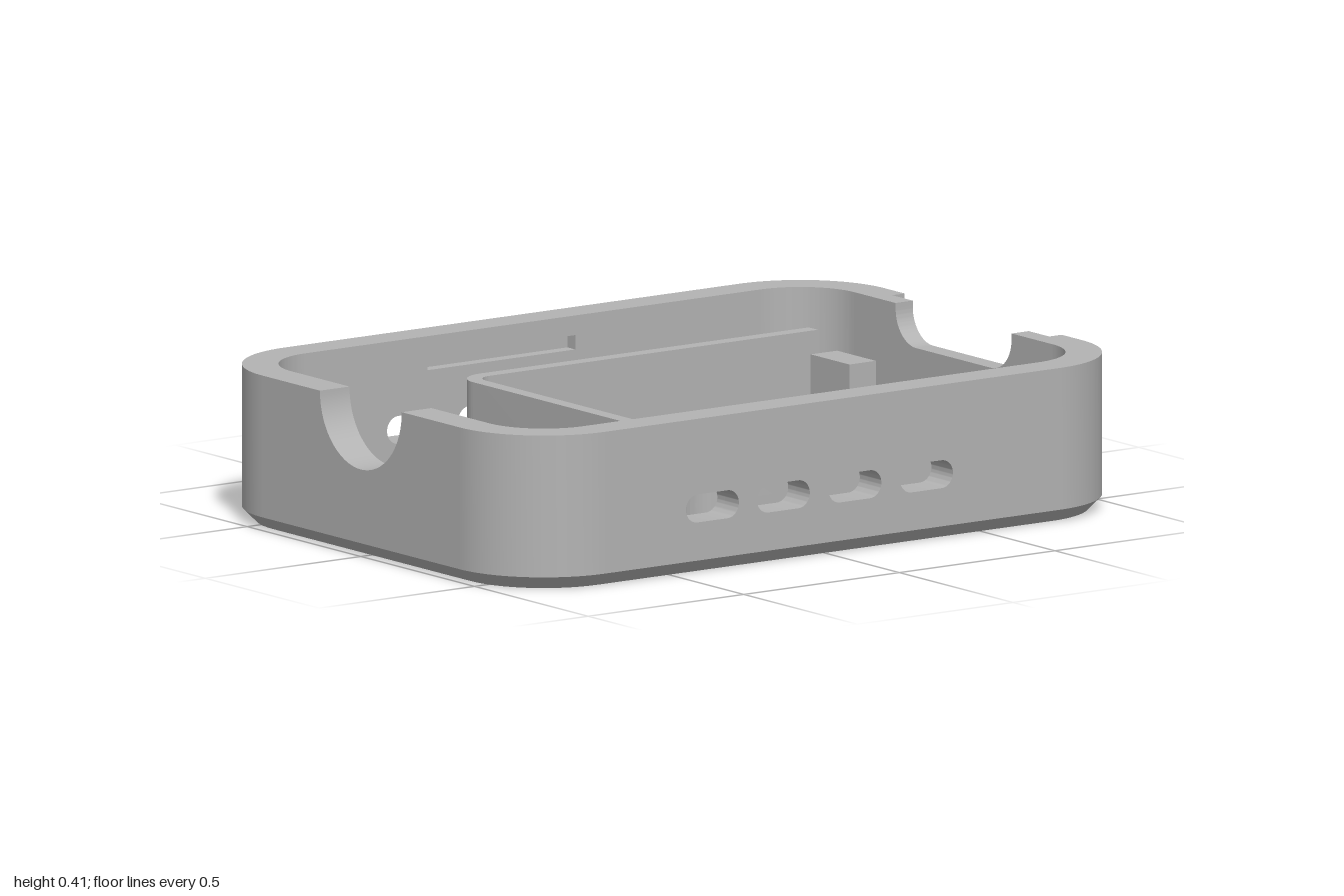
import * as THREE from 'three';
import { toCreasedNormals } from 'three/addons/utils/BufferGeometryUtils.js';

const HX = 0.705, HZ = 1, R = 0.27, WALL = 0.095;   // outer half sizes, corner radius, wall
const CX = HX - R, CZ = HZ - R;                     // corner centres
const TOP = 0.41, CHAMFER = 0.035, FLOOR = 0.09, CUT = 0.14;

export function createModel() {
  const group = new THREE.Group();
  const plastic = new THREE.MeshStandardMaterial({ color: 0xb3b3b3 });
  plastic.name = 'grey plastic';

  const add = (name, geo) => {
    const mesh = new THREE.Mesh(geo, plastic);
    mesh.name = name;
    group.add(mesh);
  };
  const extrude = (shape, depth) => toCreasedNormals(
    new THREE.ExtrudeGeometry(shape, { depth, bevelEnabled: false, curveSegments: 20 }), 0.5);
  // shape in (x, z), raised from y0 to y1
  const slab = (name, shape, y0, y1) =>
    add(name, extrude(shape, y1 - y0).rotateX(Math.PI / 2).translate(0, y1, 0));
  // shape in (x, y), running from z0 to z1
  const facing = (name, shape, z0, z1) =>
    add(name, extrude(shape, z1 - z0).translate(0, 0, z0));
  // shape in (z, y), running from x0 to x1
  const sideways = (name, shape, x0, x1) =>
    add(name, extrude(shape, x1 - x0).rotateY(-Math.PI / 2).translate(x1, 0, 0));

  const polygon = (pts) => new THREE.Shape(pts.map(([a, b]) => new THREE.Vector2(a, b)));
  const rect = (a0, b0, a1, b1) => polygon([[a0, b0], [a1, b0], [a1, b1], [a0, b1]]);

  // Points of the rounded outline, shrunk by an inset
  const outline = (inset) => {
    const pts = [], n = 16;
    [[1, 1], [-1, 1], [-1, -1], [1, -1]].forEach(([sx, sz], q) => {
      for (let i = 0; i <= n; i++) {
        const a = (q + i / n) * Math.PI / 2;
        pts.push([sx * CX + (R - inset) * Math.cos(a), sz * CZ + (R - inset) * Math.sin(a)]);
      }
    });
    return pts;
  };

  // Keyhole opening for hanging
  const keyhole = () => {
    const h = new THREE.Path(), cz = -0.06, r = 0.205, w = 0.1;
    const a = Math.acos(w / r);
    h.absarc(0, cz, r, a, Math.PI - a + Math.PI * 2, true);
    h.lineTo(-w, 0.325);
    h.absarc(0, 0.325, w, Math.PI, 0, true);
    h.closePath();
    return h;
  };

  // Floor in two layers, the lower one inset for the chamfer
  for (const [name, inset, y0, y1] of [['basePlate', CHAMFER, 0, CHAMFER], ['floor', 0.02, CHAMFER, FLOOR]]) {
    const s = polygon(outline(inset));
    s.holes.push(keyhole());
    slab(name, s, y0, y1);
  }

  // Chamfer band around the bottom edge
  const low = outline(CHAMFER), high = outline(0), pos = [], idx = [];
  low.forEach((p, i) => {
    pos.push(p[0], 0, p[1], high[i][0], CHAMFER, high[i][1]);
    const a = 2 * i, b = 2 * ((i + 1) % low.length);
    idx.push(a, a + 1, b, b, a + 1, b + 1);
  });
  const band = new THREE.BufferGeometry();
  band.setAttribute('position', new THREE.Float32BufferAttribute(pos, 3));
  band.setIndex(idx);
  band.computeVertexNormals();
  add('bottomChamfer', band);

  // Rounded corners of the wall
  [[1, 1], [-1, 1], [-1, -1], [1, -1]].forEach(([sx, sz], q) => {
    const s = new THREE.Shape(), a = q * Math.PI / 2, b = a + Math.PI / 2;
    s.absarc(sx * CX, sz * CZ, R, a, b, false);
    s.absarc(sx * CX, sz * CZ, R - WALL, b, a, true);
    s.closePath();
    slab('wallCorner', s, CHAMFER, TOP);
  });

  // Side walls: vent slots right through, a long groove on the inside only
  const vent = (z) => {
    const h = new THREE.Path(), r = 0.037, d = 0.085 - r;
    h.absarc(z + d, 0.173, r, -Math.PI / 2, Math.PI / 2, false);
    h.absarc(z - d, 0.173, r, Math.PI / 2, Math.PI * 1.5, false);
    h.closePath();
    return h;
  };
  const sidePanel = (groove) => {
    const s = rect(-CZ, CHAMFER, CZ, TOP);
    for (const z of [0.385, 0.157, -0.073, -0.303]) s.holes.push(vent(z));
    if (groove) s.holes.push(rect(-0.135, 0.32, 0.34, 0.358));
    return s;
  };
  const mid = HX - 0.06, inner = HX - WALL;
  sideways('leftWallOuter', sidePanel(false), mid, HX);
  sideways('leftWallInner', sidePanel(true), inner, mid);
  sideways('rightWallOuter', sidePanel(false), -HX, -mid);
  sideways('rightWallInner', sidePanel(true), -mid, -inner);

  // Front wall with a half-round cable notch
  const front = new THREE.Shape();
  front.moveTo(-CX, CHAMFER);
  front.lineTo(CX, CHAMFER);
  front.lineTo(CX, TOP);
  front.absarc(0, TOP, 0.18, 0, -Math.PI, true);
  front.lineTo(-CX, TOP);
  front.closePath();
  facing('frontWall', front, HZ - WALL, HZ);

  // Back wall with a stepped, round-cornered notch
  const backPanel = (w, bottom, r) => {
    const s = new THREE.Shape();
    s.moveTo(-CX, CHAMFER);
    s.lineTo(CX, CHAMFER);
    s.lineTo(CX, TOP);
    s.lineTo(w, TOP);
    s.absarc(w - r, bottom + r, r, 0, -Math.PI / 2, true);
    s.absarc(-w + r, bottom + r, r, -Math.PI / 2, -Math.PI, true);
    s.lineTo(-w, TOP);
    s.lineTo(-CX, TOP);
    s.closePath();
    return s;
  };
  facing('backWallOuter', backPanel(0.345, 0.245, 0.13), -HZ, -0.96);
  facing('backWallInner', backPanel(0.255, 0.305, 0.09), -0.96, -HZ + WALL);

  // U-shaped fence, its foot open where the keyhole passes
  const FX = 0.535, FZ = 0.31, FB = -0.83, T = 0.04, FR = 0.085;
  const ro = FR, ri = FR - T, fx = FX - FR, fz = FZ - FR;
  const fence = new THREE.Shape();
  fence.moveTo(FX, FB);
  fence.absarc(fx, fz, ro, 0, Math.PI / 2, false);
  fence.absarc(-fx, fz, ro, Math.PI / 2, Math.PI, false);
  fence.lineTo(-FX, FB);
  fence.lineTo(-FX + T, FB);
  fence.absarc(-fx, fz, ri, Math.PI, Math.PI / 2, true);
  fence.absarc(fx, fz, ri, Math.PI / 2, 0, true);
  fence.lineTo(FX - T, FB);
  fence.closePath();
  slab('fence', fence, CUT, 0.31);
  for (const side of [1, -1]) {
    const s = new THREE.Shape(), a = side > 0 ? 0 : Math.PI, cw = side < 0;
    s.moveTo(side * FX, FB);
    s.absarc(side * fx, fz, ro, a, Math.PI / 2, cw);
    s.lineTo(side * 0.1, FZ);
    s.lineTo(side * 0.1, FZ - T);
    s.absarc(side * fx, fz, ri, Math.PI / 2, a, !cw);
    s.lineTo(side * (FX - T), FB);
    s.closePath();
    slab('fenceFoot', s, FLOOR, CUT);

    // Support posts at the back
    slab('backPost', rect(side * 0.315, -0.885, side * 0.485, -0.8), FLOOR, 0.25);
  }

  // Support bar bridging the keyhole slot
  facing('supportBar', polygon([[-0.32, FLOOR], [-0.1, FLOOR], [-0.1, CUT], [0.1, CUT],
    [0.1, FLOOR], [0.32, FLOOR], [0.32, 0.25], [-0.32, 0.25]]), 0.185, 0.26);

  return group;
}
